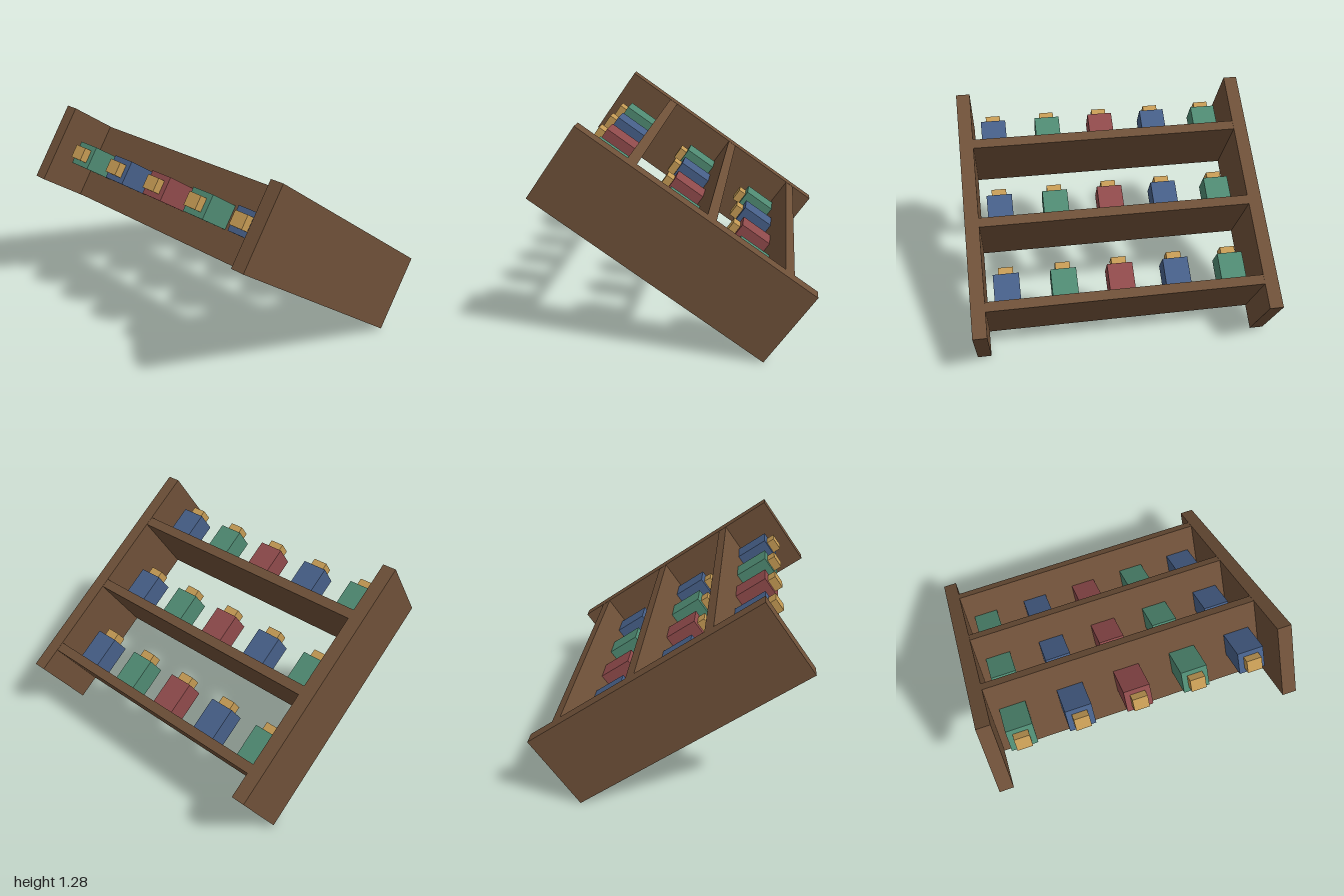
import * as THREE from 'three';

const material = (name, color) => {
  const m = new THREE.MeshStandardMaterial({ color });
  m.name = name;
  return m;
};

export function createModel() {
  const wood = material('brown wood', 0x6e5038);
  const green = material('green glass', 0x4f8a72);
  const blue = material('blue glass', 0x465f88);
  const red = material('red glass', 0x8f4a4b);
  const gold = material('golden stopper', 0xc49a54);

  const model = new THREE.Group();
  model.name = 'shelfWithBottles';

  // The whole shelf leans forward and is turned slightly
  const rack = new THREE.Group();
  rack.name = 'rack';
  rack.rotation.set(THREE.MathUtils.degToRad(55), THREE.MathUtils.degToRad(8), 0, 'YXZ');
  rack.position.y = 0.6425;
  model.add(rack);

  const box = (parent, name, size, pos, mat) => {
    const mesh = new THREE.Mesh(new THREE.BoxGeometry(...size), mat);
    mesh.name = name;
    mesh.position.set(...pos);
    parent.add(mesh);
  };

  // Side panels
  box(rack, 'leftPanel', [0.083, 1.55, 0.483], [0.859, 0, 0], wood);
  box(rack, 'rightPanel', [0.083, 1.55, 0.483], [-0.859, 0, 0], wood);

  // Shelves, each with a row of five bottles
  const colours = [green, blue, red, green, blue];
  for (const top of [-0.566, -0.054, 0.46]) {
    box(rack, 'shelf', [1.636, 0.058, 0.48], [0, top - 0.029, 0], wood);
    colours.forEach((glass, i) => {
      const bottle = new THREE.Group();
      bottle.name = 'bottle';
      bottle.position.set((i - 2) * 0.344, top, 0.003);
      box(bottle, 'bottleBody', [0.155, 0.208, 0.145], [0, 0.104, 0], glass);
      box(bottle, 'bottleStopper', [0.09, 0.05, 0.082], [0, 0.233, 0], gold);
      rack.add(bottle);
    });
  }
  return model;
}
